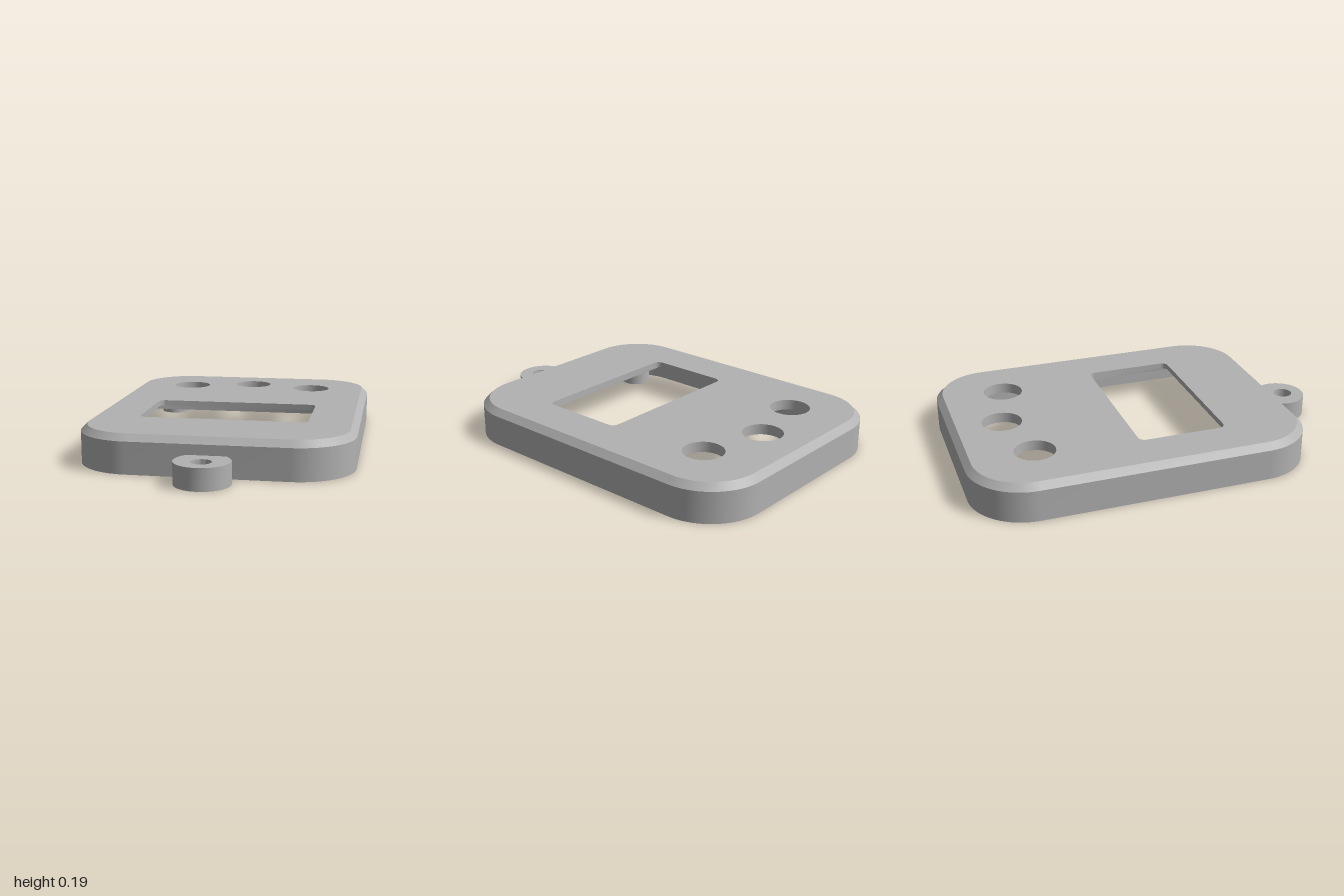
import * as THREE from 'three';
import { toCreasedNormals } from 'three/addons/utils/BufferGeometryUtils.js';

const SEG = 20;
const MID_Z = -0.1175;          // centre of the case body
const CEILING = 0.14, STEP = 0.165, SHOULDER = 0.162, TOP = 0.195;

// Outlines are drawn in (x, -z), counter-clockwise from above
function roundedRect(w, d, r, z) {
  const s = new THREE.Shape(), x = w / 2 - r, y = d / 2 - r, c = -z;
  s.absarc(x, c + y, r, 0, Math.PI / 2);
  s.absarc(-x, c + y, r, Math.PI / 2, Math.PI);
  s.absarc(-x, c - y, r, Math.PI, Math.PI * 1.5);
  s.absarc(x, c - y, r, Math.PI * 1.5, Math.PI * 2);
  s.closePath();
  return s;
}

function circle(x, z, r) {
  const s = new THREE.Shape();
  s.absarc(x, -z, r, 0, Math.PI * 2);
  return s;
}

// Joins outlines [shape, height] into a skin; upward order faces outward, downward order inward
function loft(sections) {
  const rings = sections.map(([shape, y]) => {
    const pts = shape.getPoints(SEG);
    if (pts[0].distanceTo(pts[pts.length - 1]) < 1e-6) pts.pop();
    return pts.map(p => [p.x, y, -p.y]);
  });
  const pos = [];
  for (let k = 0; k < rings.length - 1; k++) {
    const a = rings[k], b = rings[k + 1], n = a.length;
    for (let i = 0; i < n; i++) {
      const j = (i + 1) % n;
      pos.push(...a[i], ...a[j], ...b[j], ...a[i], ...b[j], ...b[i]);
    }
  }
  const g = new THREE.BufferGeometry();
  g.setAttribute('position', new THREE.Float32BufferAttribute(pos, 3));
  return toCreasedNormals(g, 0.5);
}

// Flat face with holes at a given height
function plate(outline, holes, y, faceDown = false) {
  const s = outline.clone();
  s.holes = holes;
  const g = new THREE.ShapeGeometry(s, SEG).rotateX(-Math.PI / 2).translate(0, y, 0);
  if (faceDown) {
    g.index.array.reverse();
    g.computeVertexNormals();
  }
  return g;
}

export function createModel() {
  const model = new THREE.Group();
  model.name = 'displayCase';
  const grey = new THREE.MeshStandardMaterial({ color: 0xb2b2b2 });
  grey.name = 'grey plastic';

  const add = (name, geometry) => {
    const mesh = new THREE.Mesh(geometry, grey);
    mesh.name = name;
    model.add(mesh);
  };
  const body = inset => roundedRect(1.38 - 2 * inset, 1.765 - 2 * inset, 0.295 - inset, MID_Z);

  const outer = body(0), chamfer = body(0.033), inner = body(0.05);
  const window = roundedRect(0.87, 0.465, 0.035, 0.107);
  const recess = roundedRect(0.93, 0.525, 0.003, 0.107);
  const buttons = [[-0.36, -0.645], [0, -0.73], [0.36, -0.645]].map(([x, z]) => circle(x, z, 0.104));

  // Side wall, bottom rim and chamfer
  add('caseWall', loft([[inner, CEILING], [inner, 0], [outer, 0], [outer, SHOULDER], [chamfer, TOP]]));

  // Cover faces
  add('coverTop', plate(chamfer, [window, ...buttons], TOP));
  add('coverUnderside', plate(inner, [recess, ...buttons], CEILING, true));

  // Window edge with a stepped seat beneath
  add('windowEdge', loft([[window, TOP], [window, STEP]]));
  add('windowSeat', plate(recess, [window], STEP, true));
  add('windowSeatEdge', loft([[recess, STEP], [recess, CEILING]]));

  // Button holes
  buttons.forEach(b => add('buttonHole', loft([[b, TOP], [b, CEILING]])));

  // Screw posts in the four corners
  for (const x of [-0.505, 0.505]) {
    for (const z of [MID_Z - 0.7, MID_Z + 0.7]) {
      const bore = circle(x, z, 0.047), post = circle(x, z, 0.082);
      add('screwPost', loft([[bore, CEILING], [bore, 0], [post, 0], [post, CEILING]]));
    }
  }

  // Hanging lug with an off-centre hole
  const lug = circle(0, 0.863, 0.137), eye = circle(0, 0.885, 0.05);
  add('hangingLug', loft([[eye, 0.11], [eye, 0], [lug, 0], [lug, 0.11], [eye, 0.11]]));

  return model;
}
